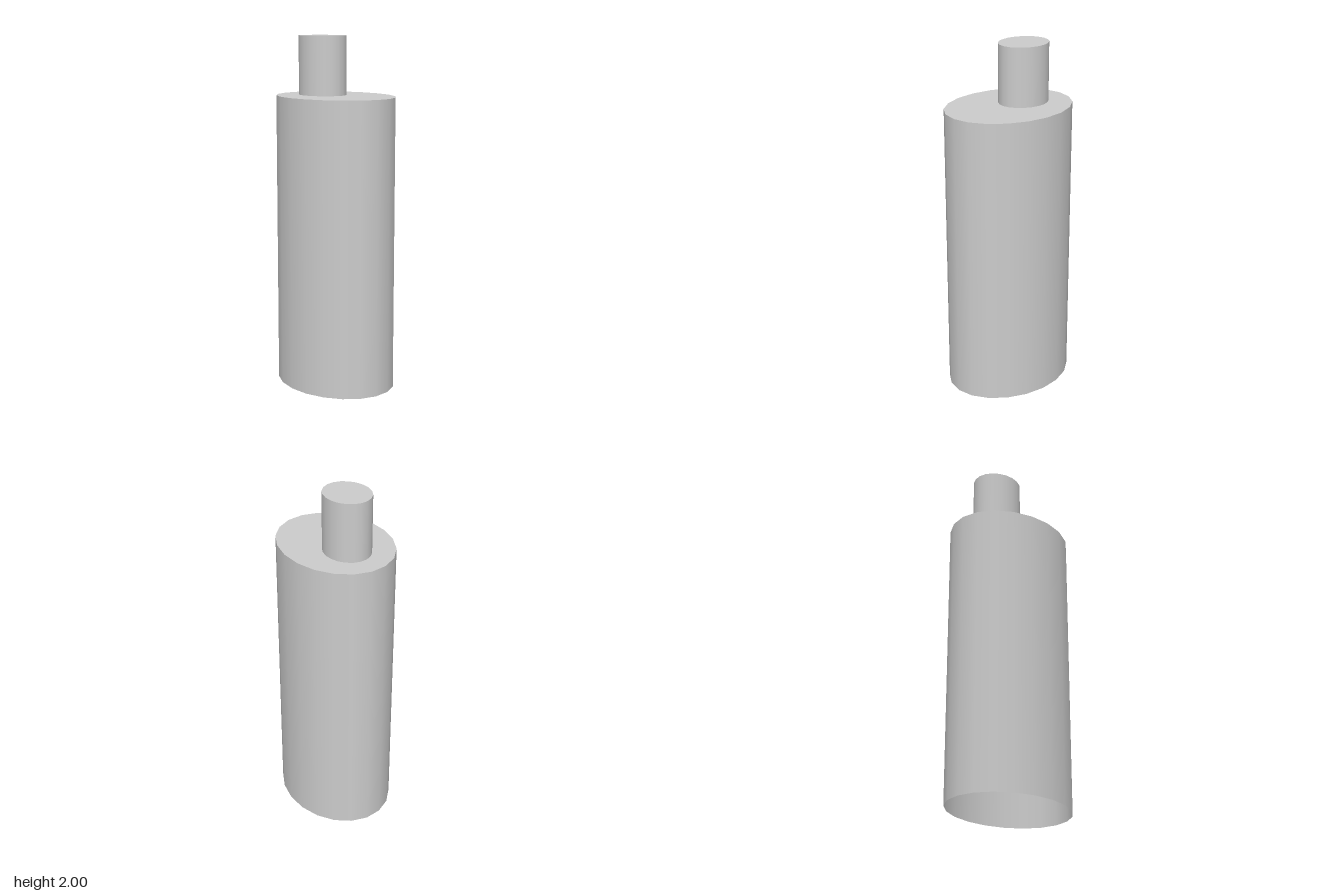
import * as THREE from 'three';

const material = new THREE.MeshStandardMaterial({ color: 0xcccccc, side: THREE.DoubleSide });
const SIDES = 20;

// Oval tube with a closed top and an open underside
function ovalCan(name, rx, rz, bottom, top, x, z) {
  const group = new THREE.Group();
  group.name = name;

  const wall = new THREE.Mesh(new THREE.CylinderGeometry(1, 1, top - bottom, SIDES, 1, true), material);
  wall.name = name + 'Wall';
  wall.scale.set(rx, 1, rz);
  wall.position.y = (top + bottom) / 2;

  const lid = new THREE.Mesh(new THREE.CircleGeometry(1, SIDES).rotateX(-Math.PI / 2), material);
  lid.name = name + 'Top';
  lid.scale.set(rx, 1, rz);
  lid.position.y = top;

  group.add(wall, lid);
  group.position.set(x, 0, z);
  return group;
}

export function createModel() {
  const model = new THREE.Group();
  model.name = 'ovalBottle';
  // Main container
  model.add(ovalCan('body', 0.388, 0.308, 0, 1.665, 0, 0));
  // Off-centre neck
  model.add(ovalCan('neck', 0.15, 0.129, 1.665, 2, -0.115, 0.007));
  return model;
}
